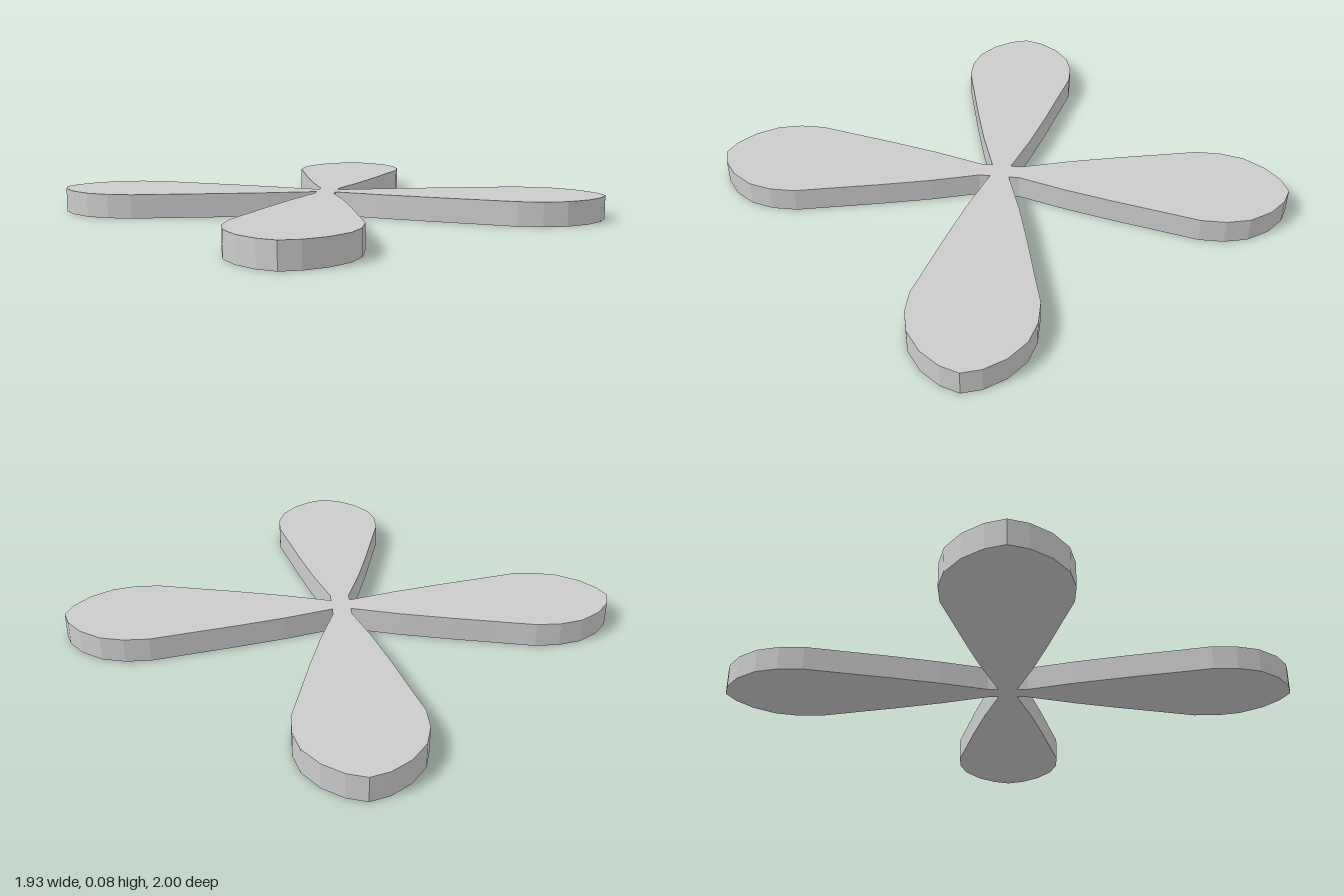
import * as THREE from 'three';

const HEIGHT = 0.083;

// Half outline of one blade: [distance from the middle, half width], neck to tip
const HALF = [
  [0.033, 0.033], [0.2, 0.086], [0.37, 0.131], [0.52, 0.167], [0.655, 0.2],
  [0.74, 0.2], [0.82, 0.179], [0.893, 0.127], [0.942, 0.062], [0.963, 0],
];

// Blade outline, neck to tip and back along the other edge, turned and moved outward
function bladeOutline(angle, shift) {
  const back = HALF.slice(0, -1).reverse().map(([d, w]) => [d, -w]);
  return [...HALF.map(([d, w]) => [d, w]), ...back]
    .reverse()
    .map(([d, w]) => new THREE.Vector2(d + shift, w).rotateAround(new THREE.Vector2(), angle));
}

export function createModel() {
  const group = new THREE.Group();
  group.name = 'fourBladeCross';

  // One continuous outline; the front and back blades sit slightly further out
  const points = [];
  for (let i = 0; i < 4; i++) {
    points.push(...bladeOutline((i * Math.PI) / 2, i % 2 ? 0.037 : 0));
  }

  const geometry = new THREE.ExtrudeGeometry(new THREE.Shape(points), {
    depth: HEIGHT, bevelEnabled: false,
  });
  geometry.rotateX(-Math.PI / 2); // lay the plate flat on the ground

  const blades = new THREE.Mesh(
    geometry,
    new THREE.MeshStandardMaterial({ color: 0xcccccc, flatShading: true }),
  );
  blades.name = 'blades';
  group.add(blades);
  return group;
}
